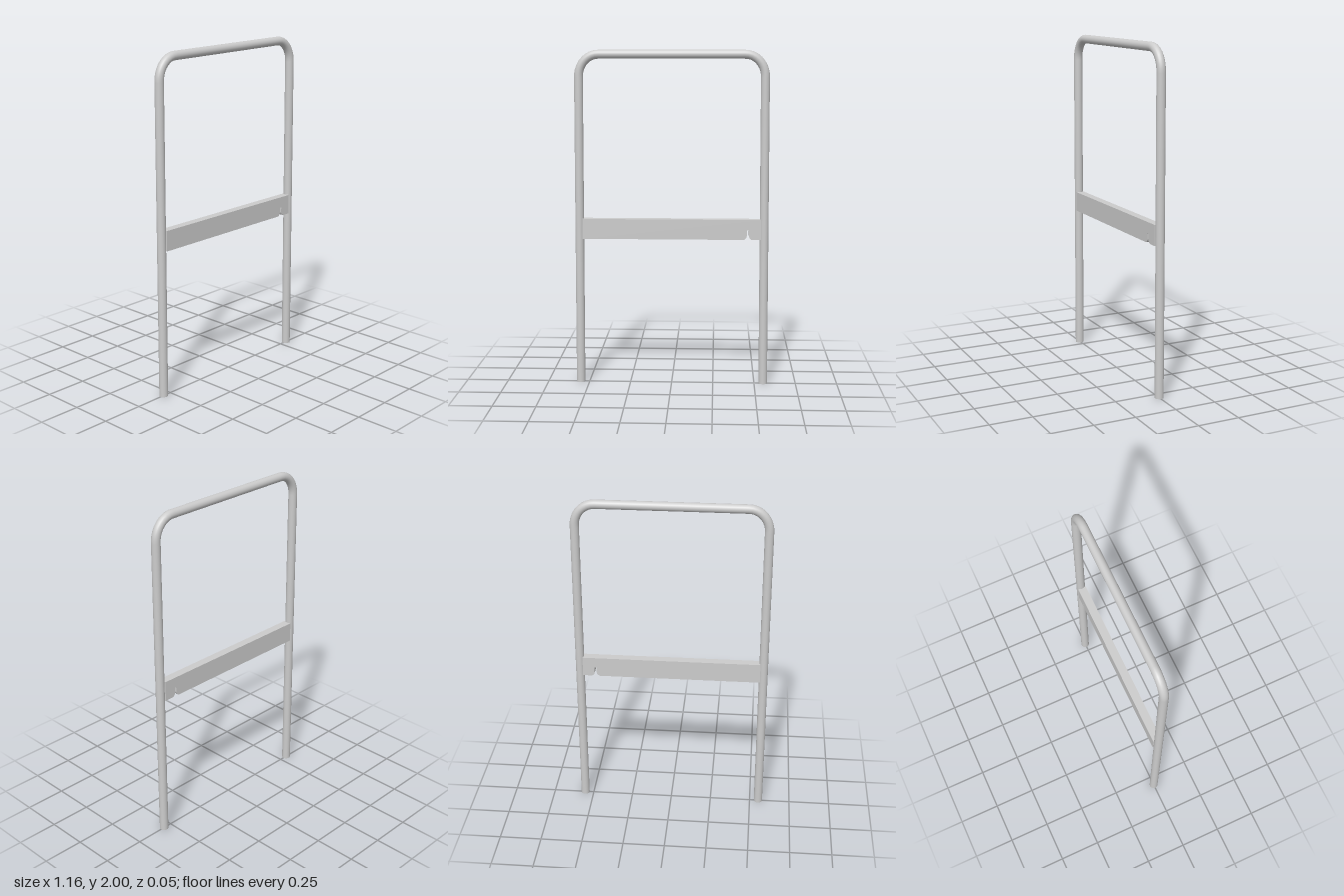
import * as THREE from 'three';

const RADIUS = 0.026, SIDES = 20, FOOT_X = 0.553, SHOULDER_X = 0.546, TOP_Y = 1.974;

export function createModel() {
  const group = new THREE.Group();
  const material = new THREE.MeshStandardMaterial({ color: 0xcccccc });
  const add = (name, geometry) => {
    const mesh = new THREE.Mesh(geometry, material);
    mesh.name = name;
    group.add(mesh);
    return mesh;
  };
  const p = (x, y) => new THREE.Vector3(x, y, 0);

  // Bent tube: slightly splayed legs, rounded corners, straight top
  const path = new THREE.CurvePath();
  const bendY = 1.845, bendX = 0.43;
  path.add(new THREE.LineCurve3(p(-FOOT_X, 0), p(-SHOULDER_X, bendY)));
  path.add(new THREE.CubicBezierCurve3(
    p(-SHOULDER_X, bendY), p(-SHOULDER_X, 1.916), p(-0.494, TOP_Y), p(-bendX, TOP_Y)));
  path.add(new THREE.LineCurve3(p(-bendX, TOP_Y), p(bendX, TOP_Y)));
  path.add(new THREE.CubicBezierCurve3(
    p(bendX, TOP_Y), p(0.494, TOP_Y), p(SHOULDER_X, 1.916), p(SHOULDER_X, bendY)));
  path.add(new THREE.LineCurve3(p(SHOULDER_X, bendY), p(FOOT_X, 0)));
  add('tubeFrame', new THREE.TubeGeometry(path, 220, RADIUS, SIDES));

  // Flat caps under the legs
  for (const side of [-1, 1]) {
    const cap = add(side < 0 ? 'rightFootCap' : 'leftFootCap',
      new THREE.CircleGeometry(RADIUS, SIDES).rotateX(Math.PI / 2));
    cap.position.x = side * FOOT_X;
  }

  // Cross plank with a flared slot in its lower edge
  const bottom = 0.885, top = 1.005, end = 0.53, depth = 0.05;
  const shape = new THREE.Shape();
  shape.moveTo(-end, bottom);
  shape.lineTo(0.428, bottom);
  shape.quadraticCurveTo(0.445, 0.89, 0.447, 0.908);
  shape.lineTo(0.447, 0.937);
  shape.absarc(0.453, 0.937, 0.006, Math.PI, 0, true);
  shape.lineTo(0.459, 0.908);
  shape.quadraticCurveTo(0.461, 0.89, 0.478, bottom);
  shape.lineTo(end, bottom);
  shape.lineTo(end, top);
  shape.lineTo(-end, top);
  shape.closePath();
  const plank = new THREE.ExtrudeGeometry(shape, { depth, bevelEnabled: false, curveSegments: 6 });
  add('crossPlank', plank.translate(0, 0, -depth / 2));

  return group;
}
